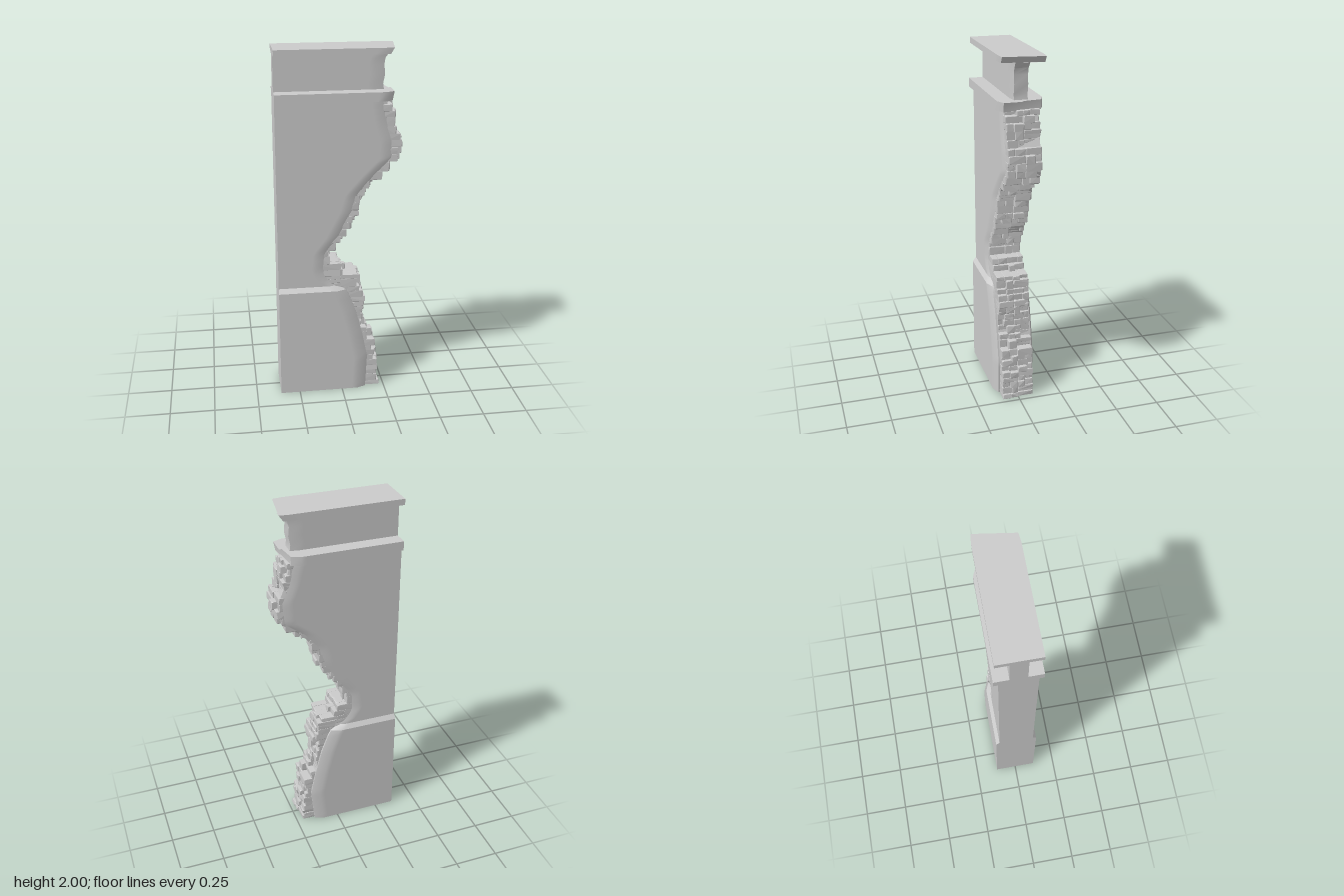
import * as THREE from 'three';
import { mergeGeometries, toCreasedNormals } from 'three/addons/utils/BufferGeometryUtils.js';
import { ConvexGeometry } from 'three/addons/geometries/ConvexGeometry.js';

const LEFT = -0.36; // straight, unbroken end

// [y, x] outlines of the broken end
const FRONT_EDGE = [[0, 0.14], [0.2, 0.15], [0.35, 0.12], [0.5, 0.08], [0.63, 0.03], [0.68, -0.05], [0.75, -0.09],
  [0.86, -0.08], [0.95, -0.01], [1.1, 0.07], [1.2, 0.1], [1.3, 0.19], [1.4, 0.29], [1.5, 0.29], [1.6, 0.26], [1.72, 0.24]];
const BACK_EDGE = [[0, 0.14], [0.2, 0.16], [0.35, 0.13], [0.5, 0.09], [0.63, 0.04], [0.68, -0.03], [0.75, -0.08],
  [0.86, -0.07], [0.95, 0], [1.1, 0.09], [1.2, 0.12], [1.3, 0.2], [1.38, 0.31], [1.5, 0.32], [1.6, 0.28], [1.72, 0.25]];
const RUBBLE = [[0, 0.235], [0.1, 0.225], [0.27, 0.205], [0.32, 0.19], [0.35, 0.155], [0.45, 0.135], [0.6, 0.14],
  [0.65, 0.115], [0.715, 0.11], [0.725, 0.03], [0.77, 0.025], [0.785, -0.05], [0.87, -0.045], [0.93, 0], [1, 0.055],
  [1.1, 0.115], [1.2, 0.14], [1.28, 0.19], [1.33, 0.27], [1.4, 0.34], [1.5, 0.34], [1.55, 0.31], [1.65, 0.3], [1.73, 0.27]];

function sample(curve, y) {
  let i = 1;
  while (i < curve.length - 1 && curve[i][0] < y) i++;
  const [y0, x0] = curve[i - 1], [y1, x1] = curve[i];
  return THREE.MathUtils.lerp(x0, x1, THREE.MathUtils.clamp((y - y0) / (y1 - y0), 0, 1));
}

let seed = 7;
function rand(a = 0, b = 1) {
  seed = (seed * 16807) % 2147483647;
  return a + (b - a) * seed / 2147483647;
}

// Horizontal sections [y, half depth, front edge x, back edge x] joined upwards
function loft(rows, lip = 0.015) {
  const pos = [], idx = [], n = 8;
  for (const [y, h, xf, xb] of rows) {
    const inner = Math.max(h - lip, 0);
    for (const [x, z] of [[LEFT, h], [xf - 0.08, h], [xf - 0.05, h], [xf, inner],
      [xb, -inner], [xb - 0.05, -h], [xb - 0.08, -h], [LEFT, -h]]) pos.push(x, y, z);
  }
  for (let r = 0; r < rows.length - 1; r++) {
    for (let i = 0; i < n; i++) {
      const a = r * n + i, b = r * n + (i + 1) % n;
      idx.push(a, b, b + n, a, b + n, a + n);
    }
  }
  const g = new THREE.BufferGeometry();
  g.setAttribute('position', new THREE.Float32BufferAttribute(pos, 3));
  g.setIndex(idx);
  return toCreasedNormals(g, 0.5);
}

// Plaster sections that follow the broken edges
function plasterRows(y0, y1, h0, h1, steps) {
  return Array.from({ length: steps + 1 }, (_, i) => {
    const t = i / steps, y = y0 + (y1 - y0) * t;
    return [y, h0 + (h1 - h0) * t, sample(FRONT_EDGE, y), sample(BACK_EDGE, y)];
  });
}

// Rough block with chipped corners
function stone(x0, x1, y0, y1, z0, z1) {
  const c = [(x0 + x1) / 2, (y0 + y1) / 2, (z0 + z1) / 2];
  const s = [(x1 - x0) / 2, (y1 - y0) / 2, (z1 - z0) / 2];
  const pts = [];
  for (const sx of [-1, 1]) for (const sy of [-1, 1]) for (const sz of [-1, 1]) {
    for (let k = 0; k < 3; k++) {
      const f = [0, 1, 2].map((a) => (a === k ? rand(0.72, 0.88) : rand(0.92, 1.04)));
      pts.push(new THREE.Vector3(c[0] + sx * s[0] * f[0], c[1] + sy * s[1] * f[1], c[2] + sz * s[2] * f[2]));
    }
  }
  return new ConvexGeometry(pts);
}

// Courses of stones, each cut into blocks across the depth and along the wall
function rubbleGeometry() {
  const stones = [], depth = 0.091, top = 1.725;
  for (let y = 0; y < top - 0.005;) {
    let y1 = Math.min(y + rand(0.026, 0.052), top);
    if (y < 0.72 && y1 > 0.7) y1 = 0.72;
    if (top - y1 < 0.018) y1 = top;
    const mid = (y + y1) / 2;
    const inner = Math.min(sample(FRONT_EDGE, y), sample(FRONT_EDGE, y1)) - 0.03;
    for (const side of [-1, 1]) {
      const split = rand() < 0.7 ? rand(0.35, 0.7) : 1;
      for (const [a, b] of split < 1 ? [[0, split], [split, 1]] : [[0, 1]]) {
        const z0 = side > 0 ? a * depth : -b * depth, z1 = side > 0 ? b * depth : -a * depth;
        const outer = sample(RUBBLE, mid) - 0.025 * (a + b) / 2 + rand(-0.016, 0.012);
        const count = Math.max(1, Math.round((outer - inner) / 0.085));
        const step = (outer - inner) / count;
        for (let i = 0; i < count; i++) {
          const x0 = inner + step * i - 0.008, x1 = inner + step * (i + 1);
          const lift = rand(-0.004, 0.003);
          // some blocks are two thinner stones
          if (y1 - y > 0.04 && rand() < 0.4) {
            const m = y + (y1 - y) * rand(0.4, 0.6);
            stones.push(stone(x0, x1 - rand(0, 0.012), y, m + 0.001, z0, z1));
            stones.push(stone(x0, x1, m - 0.001, y1, z0, z1));
          } else {
            stones.push(stone(x0, x1, Math.max(0, y - 0.002 + lift), y1 + 0.001, z0, z1));
          }
        }
      }
    }
    y = y1;
  }
  return mergeGeometries(stones);
}

export function createModel() {
  seed = 7;
  const group = new THREE.Group();
  const plaster = new THREE.MeshStandardMaterial({ color: 0xcccccc, side: THREE.DoubleSide });
  const rock = new THREE.MeshStandardMaterial({ color: 0xcccccc, flatShading: true });
  const add = (name, geometry, material = plaster) => {
    const mesh = new THREE.Mesh(geometry, material);
    mesh.name = name;
    group.add(mesh);
  };

  // Thick base, open underneath, with a sloped shoulder
  add('base', loft([...plasterRows(0, 0.635, 0.12, 0.12, 22), ...plasterRows(0.635, 0.66, 0.12, 0.1, 2).slice(1)], 0.02));
  add('wall', loft(plasterRows(0.66, 1.72, 0.1, 0.1, 40)));
  add('rubble', rubbleGeometry(), rock);

  // Cornice ledge
  add('cornice', loft([
    [1.72, 0, 0.27, 0.25], [1.72, 0.125, 0.27, 0.25],
    [1.77, 0.125, 0.28, 0.25], [1.77, 0, 0.28, 0.25],
  ], 0.022));

  // Narrow neck with a hollowed broken end
  add('neck', loft([
    [1.765, 0.045, 0.235, 0.235], [1.8, 0.045, 0.23, 0.23], [1.85, 0.045, 0.24, 0.24],
    [1.9, 0.045, 0.235, 0.235], [1.935, 0.045, 0.24, 0.245], [1.97, 0.045, 0.265, 0.275],
  ], 0.008));

  // Flat cap slab, broken at a slant
  add('cap', loft([
    [1.967, 0, 0.255, 0.285], [1.967, 0.117, 0.255, 0.285],
    [2, 0.117, 0.275, 0.308], [2, 0, 0.29, 0.29],
  ], 0.006));

  return group;
}
